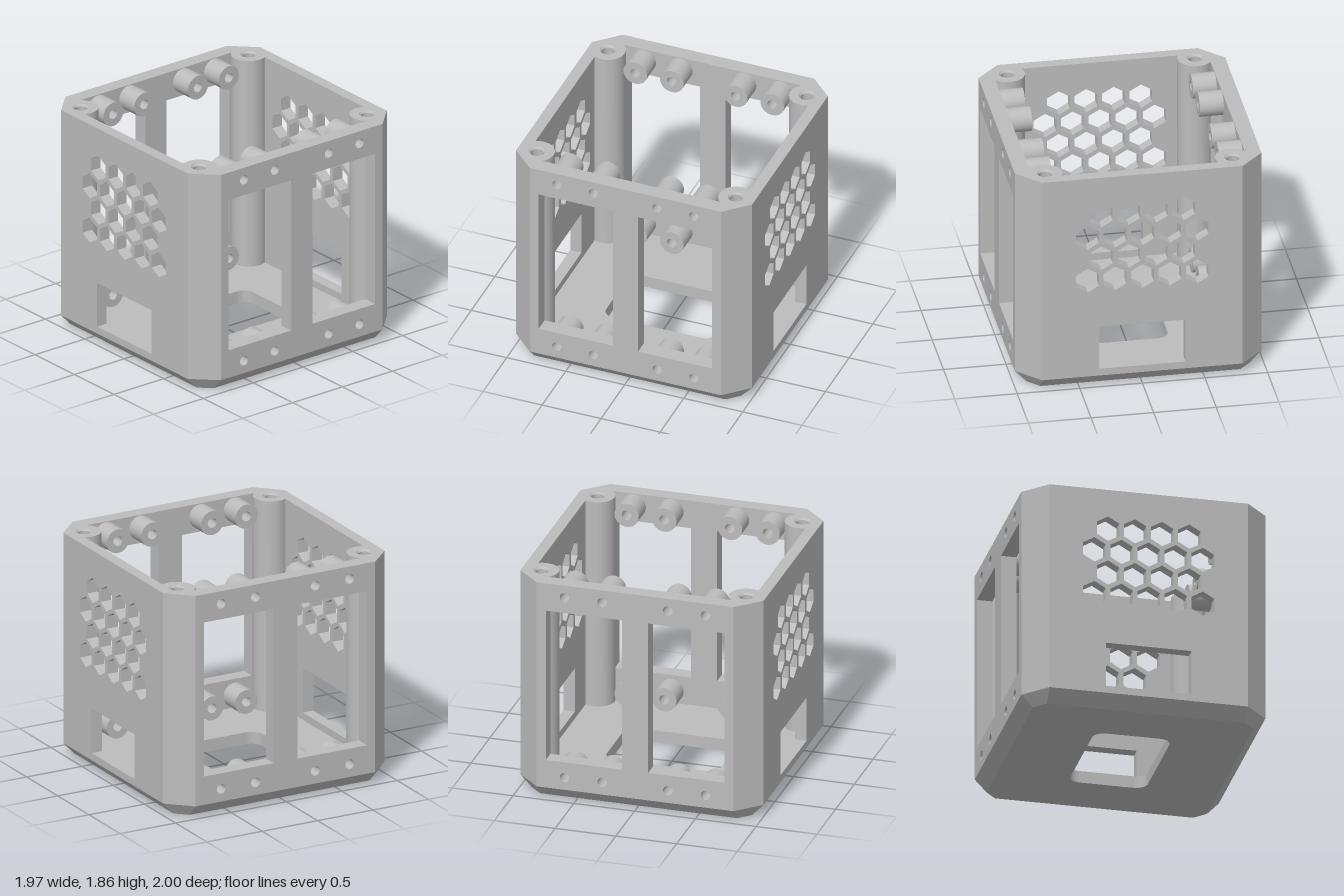
import * as THREE from 'three';
import { toCreasedNormals } from 'three/addons/utils/BufferGeometryUtils.js';

const X = 0.985, Z = 1, TOP = 1.86, FLOOR = 0.1;   // outer half sizes and heights
const IX = 0.86, IZ = 0.905;                       // inner half sizes
const CX = 0.8, CZ = 0.81;                         // where the corner cuts begin
const PX = 0.75, PZ = 0.842, PR = 0.14;            // screw posts
const WALL_X = PX - Math.sqrt(PR ** 2 - (IZ - PZ) ** 2);
const WALL_Z = PZ - Math.sqrt(PR ** 2 - (IX - PX) ** 2);
const BOSS_Z = [-0.58, -0.27, 0.27, 0.58], BOSS_Y = [0.205, 1.755];

const polygon = (pts) => new THREE.Shape(pts.map(([a, b]) => new THREE.Vector2(a, b)));
const rect = (a0, b0, a1, b1) => polygon([[a0, b0], [a1, b0], [a1, b1], [a0, b1]]);
const circle = (a, b, r) => new THREE.Shape().absarc(a, b, r, 0, Math.PI * 2, false);

function hexagon(a, b, r) {
  return polygon(Array.from({ length: 6 }, (_, i) => {
    const t = Math.PI / 2 + i * Math.PI / 3;
    return [a + r * Math.cos(t), b + r * Math.sin(t)];
  }));
}

function roundedRect(w, h, r) {
  const s = new THREE.Shape();
  s.absarc(w - r, h - r, r, 0, Math.PI / 2, false);
  s.absarc(r - w, h - r, r, Math.PI / 2, Math.PI, false);
  s.absarc(r - w, r - h, r, Math.PI, Math.PI * 1.5, false);
  s.absarc(w - r, r - h, r, Math.PI * 1.5, Math.PI * 2, false);
  return s;
}

const extrude = (shape, depth) =>
  new THREE.ExtrudeGeometry(shape, { depth, bevelEnabled: false, curveSegments: 16 });

export function createModel() {
  const group = new THREE.Group();
  const grey = new THREE.MeshStandardMaterial({ color: 0xbcbcbc });
  grey.name = 'grey plastic';
  const lining = new THREE.MeshStandardMaterial({ color: 0xbcbcbc, side: THREE.DoubleSide });
  lining.name = 'grey hole lining';

  const add = (name, geometry, material = grey) => {
    const mesh = new THREE.Mesh(toCreasedNormals(geometry, 0.5), material);
    mesh.name = name;
    group.add(mesh);
  };

  // Floor plate with a rounded opening; its lower rim is drawn in to make the chamfer
  const floor = polygon([[CX, Z], [-CX, Z], [-X, CZ], [-X, -CZ], [-CX, -Z], [CX, -Z], [X, -CZ], [X, CZ]]);
  floor.holes.push(roundedRect(0.312, 0.468, 0.095));
  const base = extrude(floor, FLOOR).rotateX(-Math.PI / 2);
  const p = base.attributes.position;
  for (let i = 0; i < p.count; i++) {
    if (p.getY(i) > 0.01) continue;
    const x = p.getX(i), z = p.getZ(i);
    if (Math.abs(x) > X - 0.01) p.setX(i, x - Math.sign(x) * 0.095);
    if (Math.abs(z) > Z - 0.01) p.setZ(i, z - Math.sign(z) * 0.095);
  }
  add('floor', base);

  // Front and back walls with honeycomb vents and a port opening
  const vented = rect(-WALL_X, FLOOR, WALL_X, TOP);
  vented.holes.push(rect(-0.345, 0.16, 0.345, 0.533));
  for (let row = 0; row < 4; row++) {
    const count = row % 2 ? 4 : 5;
    for (let i = 0; i < count; i++) {
      vented.holes.push(hexagon((i - (count - 1) / 2) * 0.219, 0.954 + row * 0.19, 0.105));
    }
  }
  add('frontWall', extrude(vented, Z - IZ).translate(0, 0, IZ));
  add('backWall', extrude(vented, Z - IZ).translate(0, 0, -Z));

  // Side walls with two tall windows and rows of screw holes
  const side = rect(-WALL_Z, FLOOR, WALL_Z, TOP);
  side.holes.push(rect(-0.735, 0.337, -0.107, 1.625), rect(0.107, 0.337, 0.735, 1.625));
  for (const y of BOSS_Y) for (const z of BOSS_Z) side.holes.push(circle(z, y, 0.04));
  add('leftWall', extrude(side, X - IX).rotateY(Math.PI / 2).translate(IX, 0, 0));
  add('rightWall', extrude(side, X - IX).rotateY(Math.PI / 2).translate(-X, 0, 0));

  // Hollow bosses behind the side screw holes
  for (const y of BOSS_Y) for (const z of BOSS_Z) {
    const ring = circle(0, 0, 0.1);
    ring.holes.push(circle(0, 0, 0.04));
    for (const x of [-IX, IX - 0.19]) {
      add('screwBoss', extrude(ring, 0.19).rotateY(Math.PI / 2).translate(x, y, z));
    }
  }

  // Corner columns: cut outer corner, round inner post, blind screw hole from the top
  const start = -Math.atan2(PZ - WALL_Z, IX - PX);
  const end = -Math.PI - Math.asin((IZ - PZ) / PR);
  for (const sx of [-1, 1]) for (const sz of [-1, 1]) {
    const pts = [[WALL_X, Z], [CX, Z], [X, CZ], [X, WALL_Z]];
    for (let i = 0; i <= 28; i++) {
      const t = start + (end - start) * i / 28;
      pts.push([PX + PR * Math.cos(t), PZ + PR * Math.sin(t)]);
    }
    const column = polygon(pts.map(([x, z]) => [x * sx, -z * sz]));
    column.holes.push(circle(PX * sx, -PZ * sz, 0.065));
    add('cornerPost', extrude(column, TOP - FLOOR).rotateX(-Math.PI / 2).translate(0, FLOOR, 0));
    const bore = [[0, 1.45], [0.05, 1.45], [0.05, TOP - 0.015], [0.065, TOP]];
    add('postScrewHole', new THREE.LatheGeometry(bore.map(([r, y]) => new THREE.Vector2(r, y)), 32)
      .translate(PX * sx, 0, PZ * sz), lining);
  }
  return group;
}
